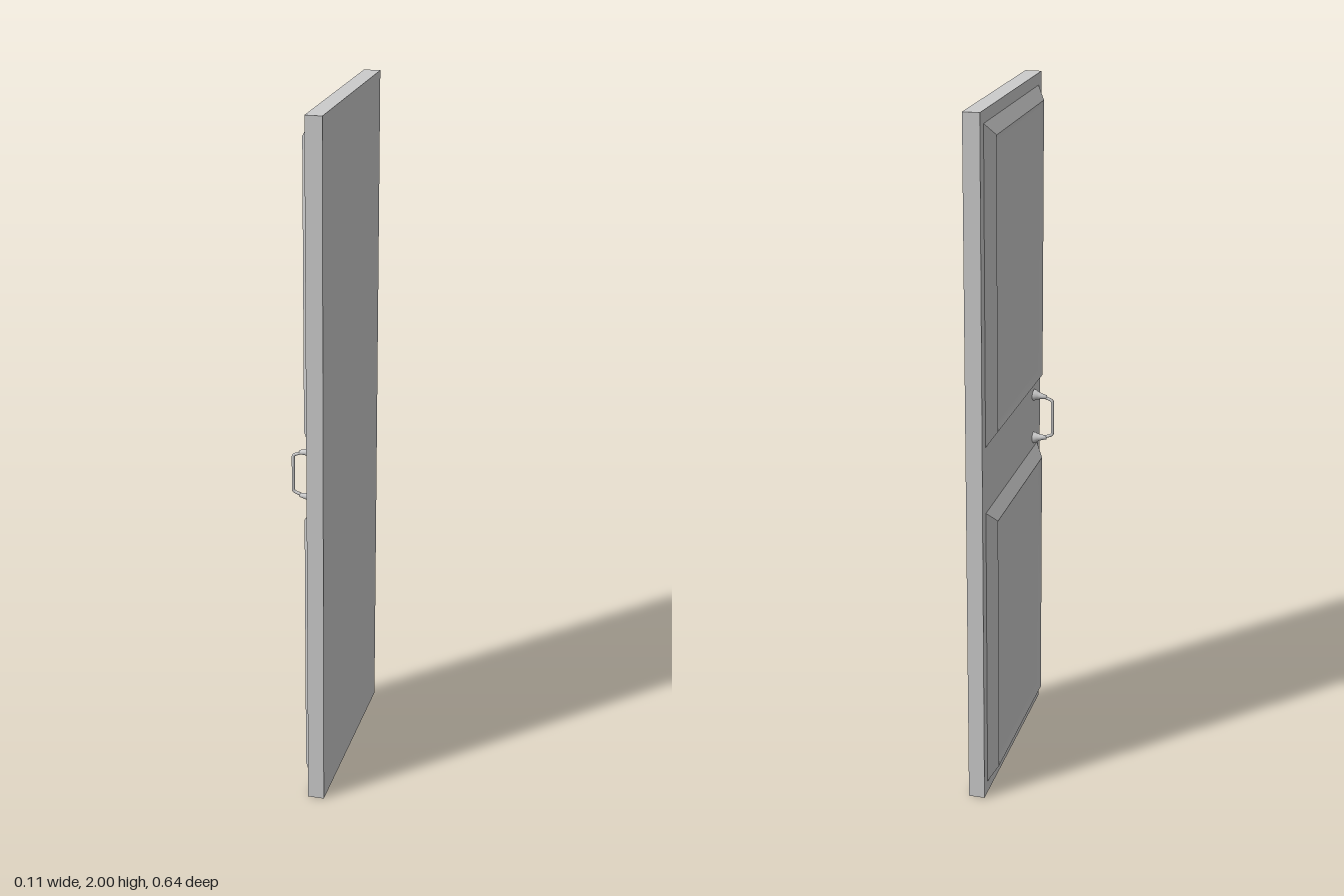
import * as THREE from 'three';

const material = new THREE.MeshStandardMaterial({ color: 0xcccccc, side: THREE.DoubleSide });
const FACE = 0.007; // x of the slab's panelled face

function addMesh(parent, geometry, name) {
  const mesh = new THREE.Mesh(geometry, material);
  mesh.name = name;
  parent.add(mesh);
  return mesh;
}

// Nested rectangular rings [inset, x] joined by quads; capped on the last ring.
function ringGeometry(y0, y1, halfZ, rings, cap) {
  const positions = [], index = [];
  for (const [inset, x] of rings) {
    const z = halfZ - inset, a = y0 + inset, b = y1 - inset;
    positions.push(x, a, -z, x, a, z, x, b, z, x, b, -z);
  }
  for (let r = 0; r < rings.length - 1; r++) {
    for (let i = 0; i < 4; i++) {
      const j = (i + 1) % 4, o = r * 4;
      index.push(o + i, o + j, o + 4 + j, o + i, o + 4 + j, o + 4 + i);
    }
  }
  if (cap) {
    const o = (rings.length - 1) * 4;
    index.push(o, o + 1, o + 2, o, o + 2, o + 3);
  }
  const geometry = new THREE.BufferGeometry();
  geometry.setAttribute('position', new THREE.Float32BufferAttribute(positions, 3));
  geometry.setIndex(index);
  geometry.computeVertexNormals();
  return geometry;
}

function createPanel(name, y0, y1) {
  const panel = new THREE.Group();
  panel.name = name;
  // Crisp outer bevel
  const bevel = ringGeometry(y0, y1, 0.285, [[0, FACE], [0.035, -0.018]], false).toNonIndexed();
  bevel.computeVertexNormals();
  addMesh(panel, bevel, 'panelBevel');
  // Softly sunken field
  const field = ringGeometry(y0, y1, 0.285, [[0.035, -0.018], [0.055, -0.009]], true);
  addMesh(panel, field, 'panelField');
  return panel;
}

function createHandle() {
  const handle = new THREE.Group();
  handle.name = 'handle';
  const z = 0.24, midY = 0.985, half = 0.066;
  // Bent grip
  const path = new THREE.CurvePath();
  const points = [
    [-0.02, half], [-0.042, half - 0.008], [-0.052, half - 0.018],
    [-0.052, -half + 0.018], [-0.042, -half + 0.008], [-0.02, -half],
  ].map(([x, y]) => new THREE.Vector3(x, midY + y, z));
  path.add(new THREE.LineCurve3(points[0], points[1]));
  path.add(new THREE.QuadraticBezierCurve3(points[1], new THREE.Vector3(-0.052, points[1].y - 0.003, z), points[2]));
  path.add(new THREE.LineCurve3(points[2], points[3]));
  path.add(new THREE.QuadraticBezierCurve3(points[3], new THREE.Vector3(-0.052, points[4].y + 0.003, z), points[4]));
  path.add(new THREE.LineCurve3(points[4], points[5]));
  addMesh(handle, new THREE.TubeGeometry(path, 60, 0.0045, 12), 'grip');
  // Flared posts, turned to point out of the door
  const profile = [[0.017, 0], [0.0165, 0.006], [0.012, 0.014], [0.0085, 0.025], [0.006, 0.04], [0, 0.043]]
    .map(([r, h]) => new THREE.Vector2(r, h));
  for (const side of [1, -1]) {
    const post = addMesh(handle, new THREE.LatheGeometry(profile, 20), side > 0 ? 'upperPost' : 'lowerPost');
    post.rotation.z = Math.PI / 2 - side * 0.1;
    post.rotation.z = Math.PI / 2 + side * 0.1;
    post.position.set(FACE, midY + side * (half + 0.002), z);
  }
  return handle;
}

export function createModel() {
  const door = new THREE.Group();
  door.name = 'door';
  const slab = addMesh(door, new THREE.BoxGeometry(0.047, 2, 0.638), 'slab');
  slab.position.set(FACE + 0.0235, 1, 0);
  door.add(createPanel('upperPanel', 1.08, 1.966));
  door.add(createPanel('lowerPanel', 0.036, 0.886));
  door.add(createHandle());
  return door;
}
